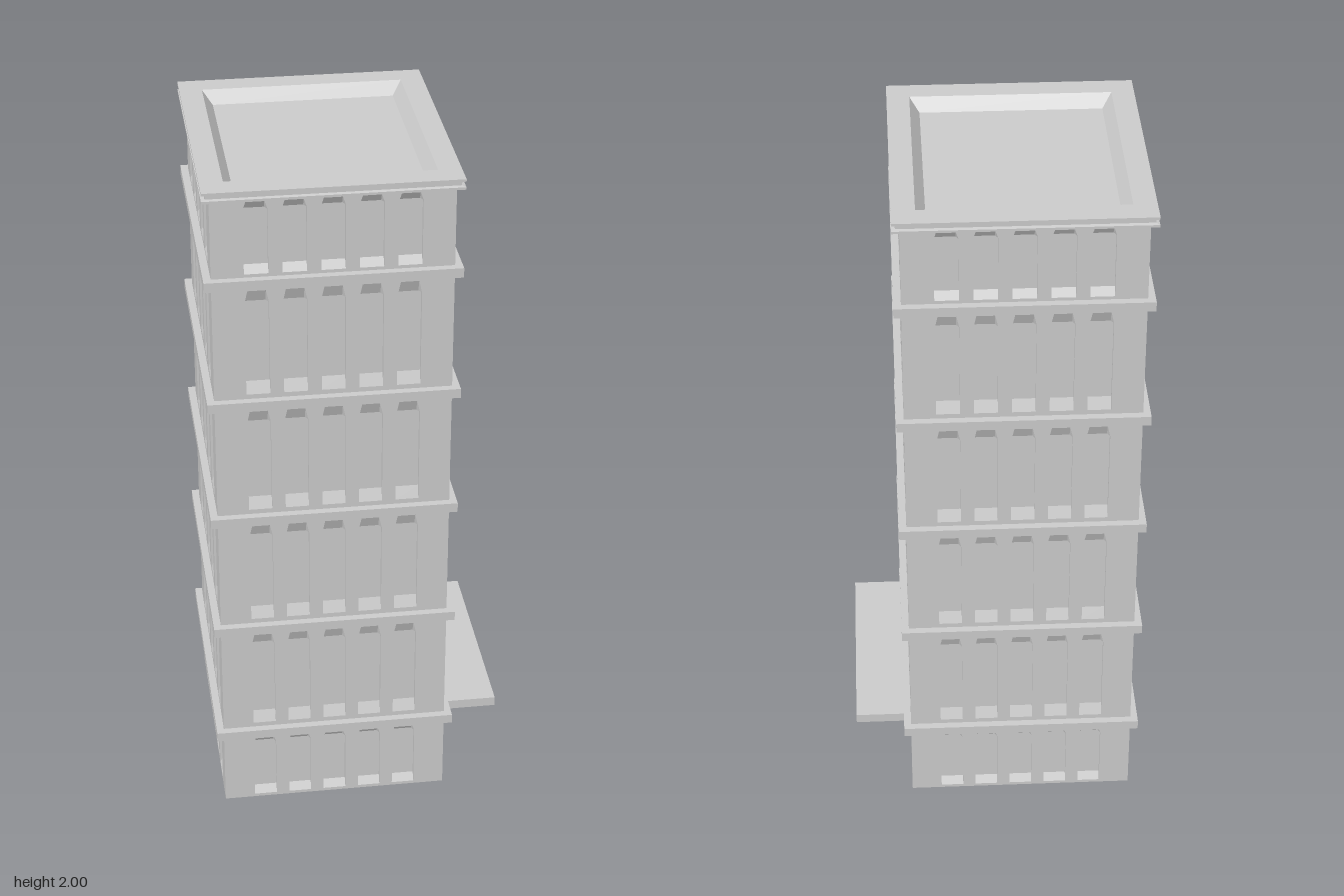
import * as THREE from 'three';
import { mergeGeometries } from 'three/addons/utils/BufferGeometryUtils.js';

const CX = -0.0717;          // centre of the tower in x
const HX = 0.33, HZ = 0.37;  // half sizes of the walls
const BX = 0.351, BZ = 0.392; // half sizes of the bands and cornice
const RECESS = 0.014;        // depth of the windows
const mat = new THREE.MeshStandardMaterial({ color: 0xcccccc, flatShading: true });

function mesh(geometry, name) {
  const m = new THREE.Mesh(geometry, mat);
  m.name = name;
  return m;
}

// Flat-shaded geometry from four-cornered faces
function quads(list) {
  const pos = [];
  for (const [a, b, c, d] of list) pos.push(...a, ...b, ...c, ...a, ...c, ...d);
  const g = new THREE.BufferGeometry();
  g.setAttribute('position', new THREE.Float32BufferAttribute(pos, 3));
  g.computeVertexNormals();
  return g;
}

// One storey of one side: a wall with five shallow windows, sloped sills and heads
function facade(halfWidth, y0, y1, pitch, w) {
  const h = y1 - y0, slope = 0.103 * h, n = w - 0.008;
  const sill = y0 + 0.04 * h, head = y1 - 0.038 * h;
  const low = sill + slope, high = head - slope;
  const wall = new THREE.Shape([[-1, y0], [1, y0], [1, y1], [-1, y1]]
    .map(([s, y]) => new THREE.Vector2(s * halfWidth, y)));
  const faces = [];
  for (let k = -2; k <= 2; k++) {
    const x = k * pitch;
    const front = [[-w, sill], [w, sill], [w, high], [n, head], [-n, head], [-w, high]]
      .map(([a, y]) => [x + a, y, 0]);
    const back = [[-w, low], [w, low], [w, high], [n, high], [-n, high], [-w, high]]
      .map(([a, y]) => [x + a, y, -RECESS]);
    wall.holes.push(new THREE.Path(front.map(p => new THREE.Vector2(p[0], p[1]))));
    front.forEach((p, i) => {
      const j = (i + 1) % 6;
      faces.push([p, front[j], back[j], back[i]]);
    });
    faces.push([back[0], back[1], back[2], back[5]]);
  }
  const flat = new THREE.ShapeGeometry(wall).toNonIndexed();
  flat.deleteAttribute('uv');
  return mergeGeometries([flat, quads(faces)]);
}

export function createModel() {
  const model = new THREE.Group();
  model.name = 'tower';

  // Storeys, with windows on every side except the entrance side at ground level
  const floors = [[0, 0.232], [0.26, 0.602], [0.63, 0.972], [1, 1.342], [1.37, 1.712], [1.74, 1.97]];
  floors.forEach(([y0, y1], f) => {
    const storey = new THREE.Group();
    storey.name = f ? 'storey' + f : 'groundStorey';
    ['frontWall', 'leftWall', 'backWall', 'rightWall'].forEach((name, i) => {
      if (f === 0 && i === 1) return;
      const wide = i % 2 === 0;
      const wall = mesh(wide ? facade(HX, y0, y1, 0.104, 0.033) : facade(HZ, y0, y1, 0.119, 0.041), name);
      const angle = i * Math.PI / 2;
      wall.rotation.y = angle;
      wall.position.set(CX + Math.sin(angle) * HX, 0, Math.cos(angle) * HZ);
      storey.add(wall);
    });
    model.add(storey);

    // Band above each storey but the last
    if (f < floors.length - 1) {
      const band = mesh(new THREE.BoxGeometry(2 * BX, 0.028, 2 * BZ), 'floorBand');
      band.position.set(CX, y1 + 0.014, 0);
      model.add(band);
    }
  });

  // Stepped entrance cut into the ground storey
  const xo = CX + HX;
  const half = [[xo, HZ], [xo, 0.312], [0.175, 0.312], [0.175, 0.106], [0.12, 0.106]];
  const path = [...half, ...half.map(([x, z]) => [x, -z]).reverse()];
  const entrance = path.slice(1).map(([x, z], i) => {
    const [px, pz] = path[i];
    return [[px, 0, pz], [x, 0, z], [x, 0.232, z], [px, 0.232, pz]];
  });
  model.add(mesh(quads(entrance), 'entranceWalls'));

  // Underside following the entrance outline
  const outline = [...path, [CX - HX, -HZ], [CX - HX, HZ]].map(p => new THREE.Vector2(...p));
  const base = new THREE.ShapeGeometry(new THREE.Shape(outline));
  base.rotateX(Math.PI / 2);
  model.add(mesh(base, 'base'));

  // Entrance canopy
  const canopy = mesh(new THREE.BoxGeometry(0.172, 0.028, 0.644), 'canopy');
  canopy.position.set(0.336, 0.246, 0);
  model.add(canopy);

  // Grooved cornice and sunken roof, as rectangular rings: half x, half z, y
  const rings = [
    [HX, HZ, 1.97], [BX, BZ, 1.97], [BX, BZ, 1.977], [BX - 0.01, BZ - 0.01, 1.979],
    [BX - 0.01, BZ - 0.01, 1.991], [BX, BZ, 1.993], [BX, BZ, 2],
    [0.2865, 0.321, 2], [0.259, 0.29, 1.965],
  ].map(([x, z, y]) => [[-1, 1], [1, 1], [1, -1], [-1, -1]].map(([a, b]) => [CX + a * x, y, b * z]));
  const roof = [rings[rings.length - 1]];
  for (let r = 1; r < rings.length; r++) {
    for (let i = 0; i < 4; i++) {
      const j = (i + 1) % 4;
      roof.push([rings[r - 1][i], rings[r - 1][j], rings[r][j], rings[r][i]]);
    }
  }
  model.add(mesh(quads(roof), 'corniceAndRoof'));
  return model;
}
